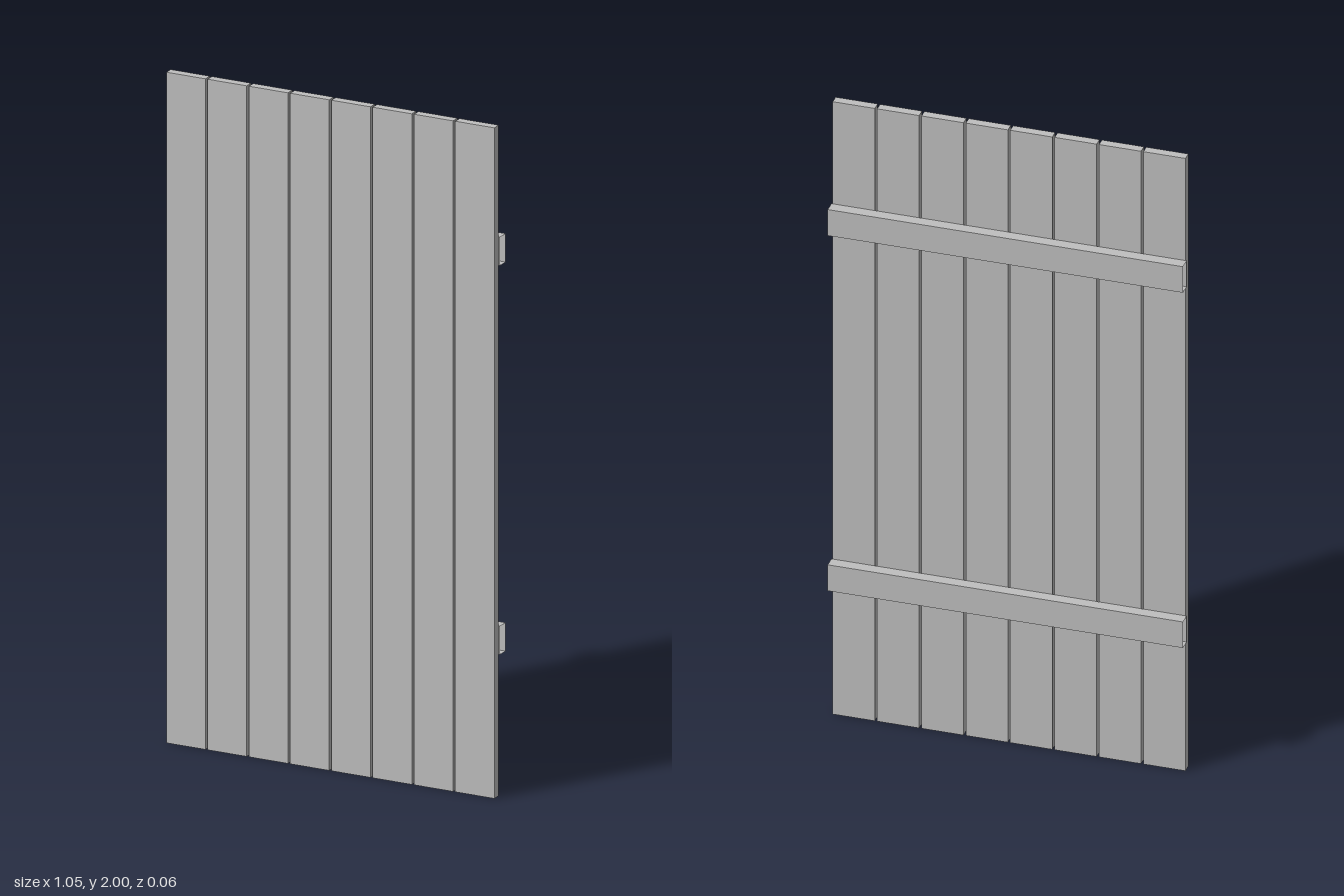
import * as THREE from 'three';

export function createModel() {
  const group = new THREE.Group();
  const grey = new THREE.MeshStandardMaterial({ color: 0xbfbfbf, side: THREE.DoubleSide });
  grey.name = 'plain grey';

  // Eight upright planks with narrow gaps
  const count = 8, pitch = 0.1314, width = 0.1245;
  const plankGeometry = new THREE.BoxGeometry(width, 2, 0.027);
  for (let i = 0; i < count; i++) {
    const plank = new THREE.Mesh(plankGeometry, grey);
    plank.name = `plank${i + 1}`;
    plank.position.set((i - (count - 1) / 2) * pitch, 1, 0.0175);
    group.add(plank);
  }

  // Two battens across the back: box sleeves with open ends (first two box sides dropped)
  const battenGeometry = new THREE.BoxGeometry(1.052, 0.085, 0.035);
  battenGeometry.setIndex(Array.from(battenGeometry.index.array).slice(12));
  battenGeometry.clearGroups();
  for (const [name, y] of [['lowerBatten', 0.464], ['upperBatten', 1.624]]) {
    const batten = new THREE.Mesh(battenGeometry, grey);
    batten.name = name;
    batten.position.set(0, y, -0.0135);
    group.add(batten);
  }
  return group;
}
